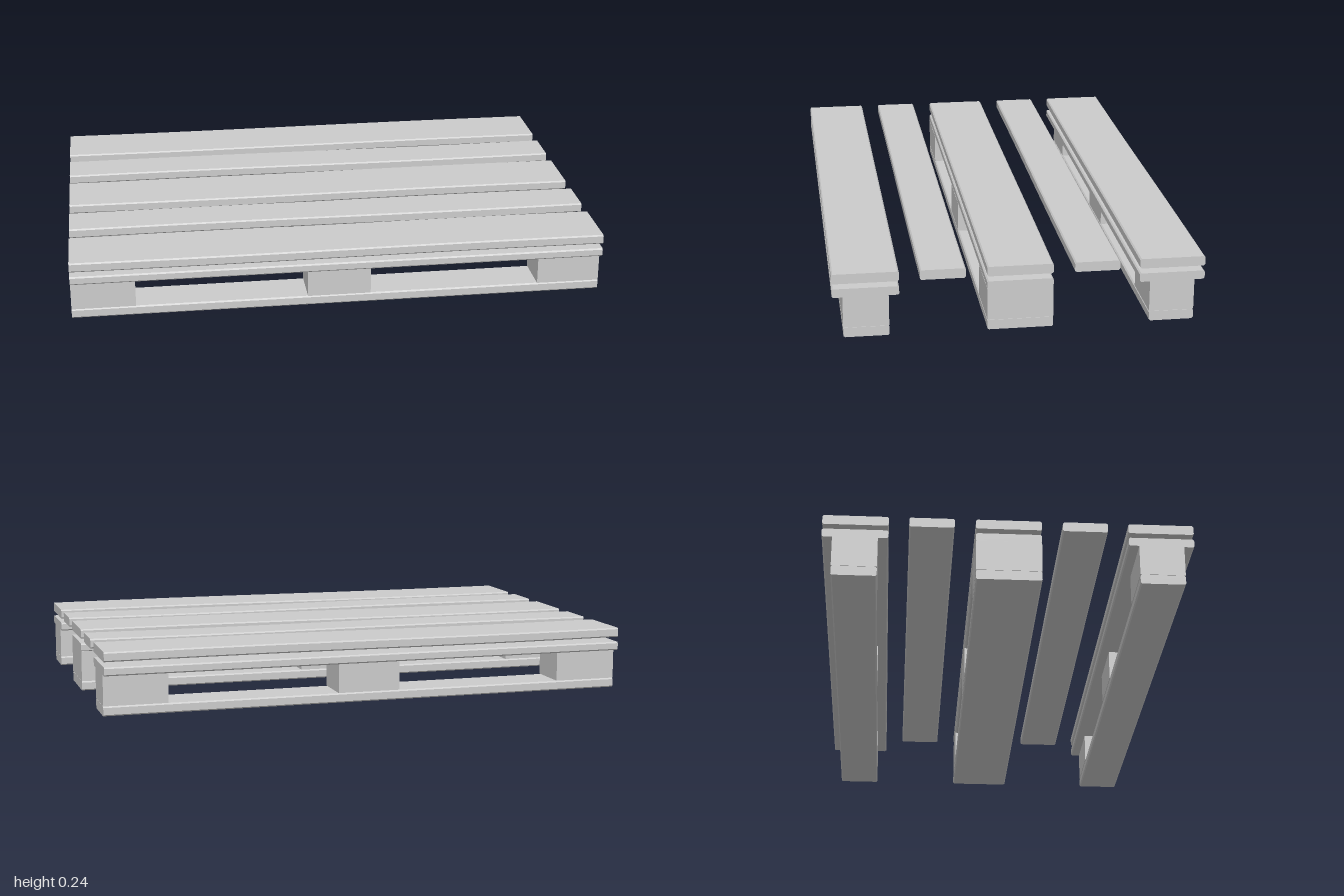
import * as THREE from 'three';

const wood = new THREE.MeshStandardMaterial({ color: 0xcccccc });
wood.name = 'plain grey wood';

// Plank along x with chamfered long edges and an optional slight warp
function plank(name, z, width, bottom, top, warp = 0, phase = 0) {
  const w = width / 2, h = (top - bottom) / 2, c = 0.005;
  const section = new THREE.Shape([
    [-w + c, -h], [w - c, -h], [w, -h + c], [w, h - c],
    [w - c, h], [-w + c, h], [-w, h - c], [-w, -h + c],
  ].map(([x, y]) => new THREE.Vector2(x, y)));
  const geometry = new THREE.ExtrudeGeometry(section, { depth: 2, steps: warp ? 16 : 1, bevelEnabled: false });
  geometry.translate(0, 0, -1).rotateY(Math.PI / 2);
  const p = geometry.attributes.position;
  for (let i = 0; i < p.count; i++) {
    p.setY(i, p.getY(i) + warp * Math.sin(p.getX(i) * Math.PI + phase));
  }
  geometry.computeVertexNormals();
  const mesh = new THREE.Mesh(geometry, wood);
  mesh.name = name;
  mesh.position.set(0, (bottom + top) / 2, z);
  return mesh;
}

export function createModel() {
  const pallet = new THREE.Group();
  pallet.name = 'pallet';

  // Deck: five planks, wide and narrow alternating
  [[-0.547, 0.236], [-0.275, 0.162], [0, 0.236], [0.275, 0.162], [0.547, 0.236]].forEach(([z, width], i) => {
    pallet.add(plank('deckPlank', z, width, 0.205, 0.241, 0.0015, i * Math.PI));
  });

  // Three runners: bottom board, three blocks and an upper board
  for (const [z, width, upperWidth] of [[-0.547, 0.162, 0.236], [0, 0.236, 0.236], [0.547, 0.162, 0.236]]) {
    const runner = new THREE.Group();
    runner.name = 'runner';
    runner.add(plank('bottomBoard', z, width, 0.002, 0.038));
    runner.add(plank('upperBoard', z, upperWidth, 0.154, 0.186));
    for (const x of [-0.881, 0, 0.881]) {
      const block = new THREE.Mesh(new THREE.BoxGeometry(0.238, 0.117, width), wood);
      block.name = 'block';
      block.position.set(x, 0.0975, z);
      runner.add(block);
    }
    pallet.add(runner);
  }
  return pallet;
}
